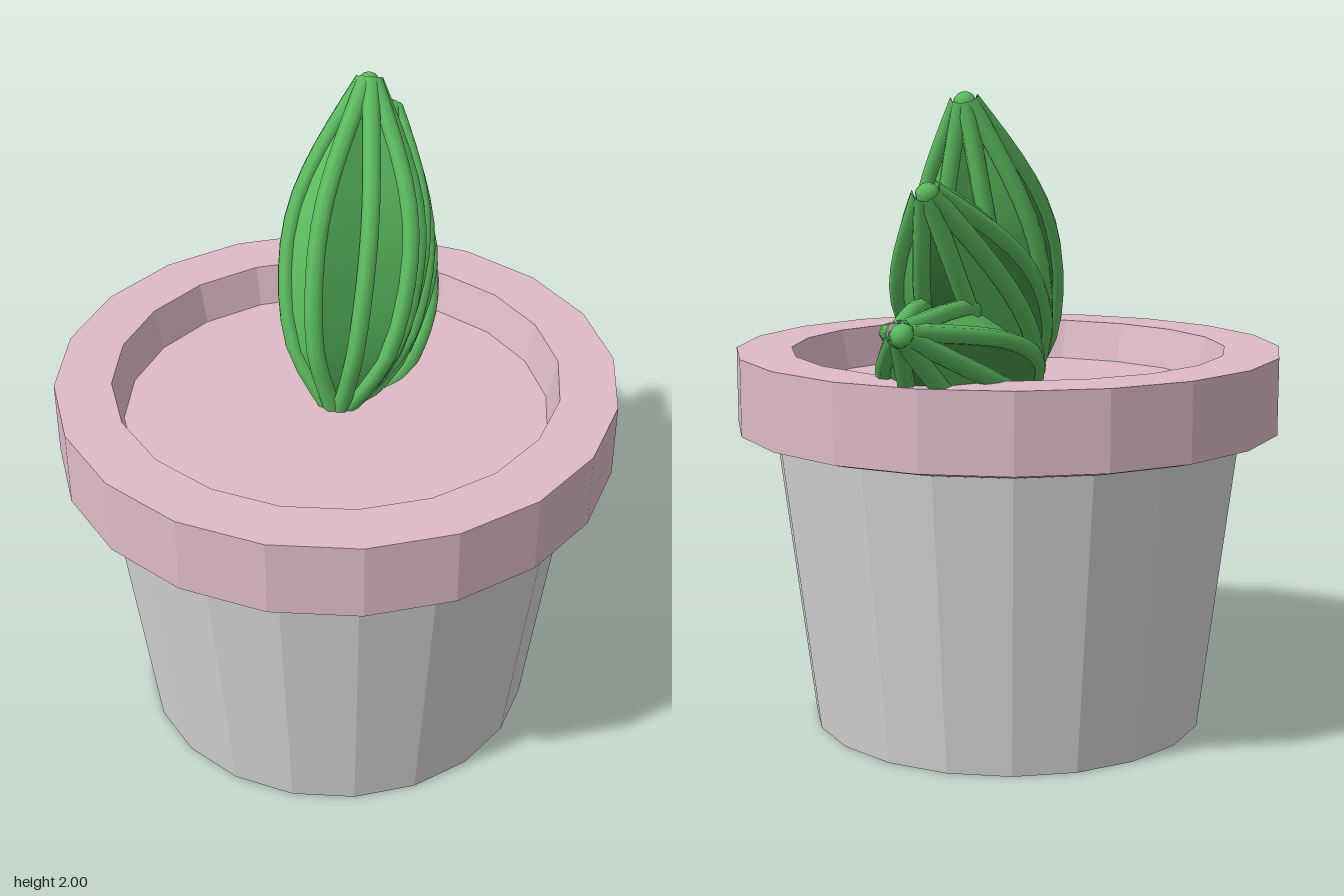
import * as THREE from 'three';

const SIDES = 20, RIBS = 8, STEPS = 10;

export function createModel() {
  const mat = (name, color, opts = {}) => {
    const m = new THREE.MeshStandardMaterial({ color, ...opts });
    m.name = name;
    return m;
  };
  const grey = mat('pot grey', 0xd6d6d6, { flatShading: true });
  const pink = mat('rim pink', 0xdebbc7, { flatShading: true });
  const green = mat('light green', 0x5cbc5f);
  const darkGreen = mat('dark green', 0x418a44);

  const model = new THREE.Group();
  model.name = 'pottedCactus';
  const add = (parent, name, geometry, material) => {
    const mesh = new THREE.Mesh(geometry, material);
    mesh.name = name;
    parent.add(mesh);
    return mesh;
  };
  const lathe = (pairs) =>
    new THREE.LatheGeometry(pairs.map(([r, y]) => new THREE.Vector2(r, y)), SIDES);

  // Tapered pot with a small flange under the rim
  const pot = new THREE.Group();
  pot.name = 'pot';
  pot.position.z = 0.085;
  model.add(pot);
  add(pot, 'potBody', lathe([[0, 0], [0.63, 0], [0.745, 0.93], [0.81, 0.945]]), grey);
  // Rim, its inner wall and the soil
  add(pot, 'rim', lathe([[0.81, 0.945], [0.865, 0.96], [0.865, 1.2], [0.69, 1.2], [0.66, 1.07]]), pink);
  add(pot, 'soil', lathe([[0.66, 1.07], [0, 1.07]]), pink);

  // Spindle profile: radius along the lobe's length
  const LENGTH = 1.02;
  const profile = new THREE.CatmullRomCurve3(
    [[0.02, 0], [0.135, 0.18], [0.18, 0.42], [0.17, 0.62], [0.115, 0.8], [0.015, LENGTH]]
      .map(([r, y]) => new THREE.Vector3(r, y, 0)));
  const spine = profile.getPoints(STEPS);
  const at = (angle, i) => new THREE.Vector3(
    Math.sin(angle) * spine[i].x * 1.13, spine[i].y, Math.cos(angle) * spine[i].x);

  // One long panel between two neighbouring ribs
  const panel = (a0, a1) => {
    const positions = [], index = [];
    for (let i = 0; i <= STEPS; i++) {
      positions.push(...at(a0, i).toArray(), ...at(a1, i).toArray());
      if (i < STEPS) {
        const k = i * 2;
        index.push(k, k + 1, k + 3, k, k + 3, k + 2);
      }
    }
    const g = new THREE.BufferGeometry();
    g.setAttribute('position', new THREE.Float32BufferAttribute(positions, 3));
    g.setIndex(index);
    g.computeVertexNormals();
    return g;
  };

  // Three ribbed lobes fanning out towards the back
  [24.5, 48, 72].forEach((lean, n) => {
    const lobe = new THREE.Group();
    lobe.name = 'cactusLobe' + (n + 1);
    lobe.position.set(0, 1.05, 0.07);
    lobe.rotation.x = -THREE.MathUtils.degToRad(lean);
    model.add(lobe);
    const step = (Math.PI * 2) / RIBS;
    for (let k = 0; k < RIBS; k++) {
      const a = (k - 0.5) * step;
      add(lobe, 'panel', panel(a, a + step), k % 2 ? green : darkGreen);
      const path = new THREE.CatmullRomCurve3(spine.map((_, i) => at(a, i)));
      add(lobe, 'rib', new THREE.TubeGeometry(path, 14, 0.028, 7), green);
    }
    // Rounded tip where the ribs meet
    const tip = add(lobe, 'tip', new THREE.SphereGeometry(0.036, 8, 6), green);
    tip.position.y = LENGTH - 0.01;
  });

  return model;
}
